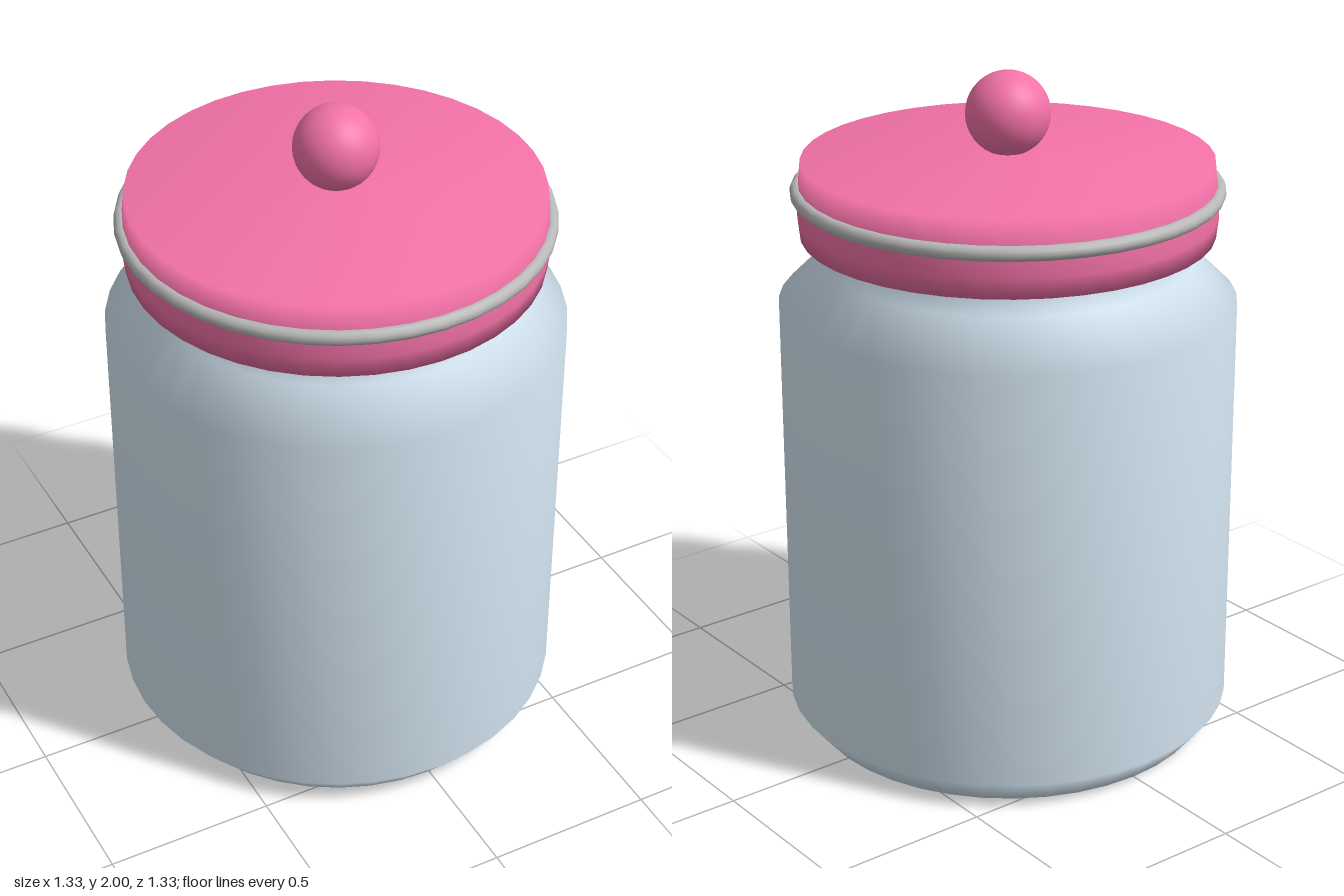
import * as THREE from 'three';

const SEGMENTS = 40;

function part(name, geometry, color, y = 0) {
  const material = new THREE.MeshStandardMaterial({ color, side: THREE.DoubleSide });
  const mesh = new THREE.Mesh(geometry, material);
  mesh.name = name;
  mesh.position.y = y;
  return mesh;
}

// Smooth turned shape from [radius, height] pairs, bottom to top
const turned = (profile) =>
  new THREE.LatheGeometry(profile.map(([r, y]) => new THREE.Vector2(r, y)), SEGMENTS);

export function createModel() {
  const model = new THREE.Group();
  model.name = 'jar';
  const pink = 0xf472a8;

  // Body with bevelled foot, sloping shoulder and neck that runs up into the lid
  model.add(part('body', turned([
    [0, 0.005], [0.6, 0.005], [0.665, 0.085], [0.665, 1.335],
    [0.54, 1.458], [0.54, 1.57],
  ]), 0xd4e6f3));

  // Lid with slightly bulging wall and shallow crown
  model.add(part('lid', turned([
    [0, 1.53], [0.598, 1.53], [0.605, 1.59], [0.603, 1.65], [0.592, 1.75], [0, 1.772],
  ]), pink));

  // Metal band around the lid
  const band = new THREE.TorusGeometry(0.602, 0.022, 12, SEGMENTS);
  band.rotateX(Math.PI / 2);
  model.add(part('band', band, 0xb8b8b8, 1.66));

  // Round knob
  model.add(part('knob', new THREE.SphereGeometry(0.122, 32, 20), pink, 1.878));

  return model;
}
